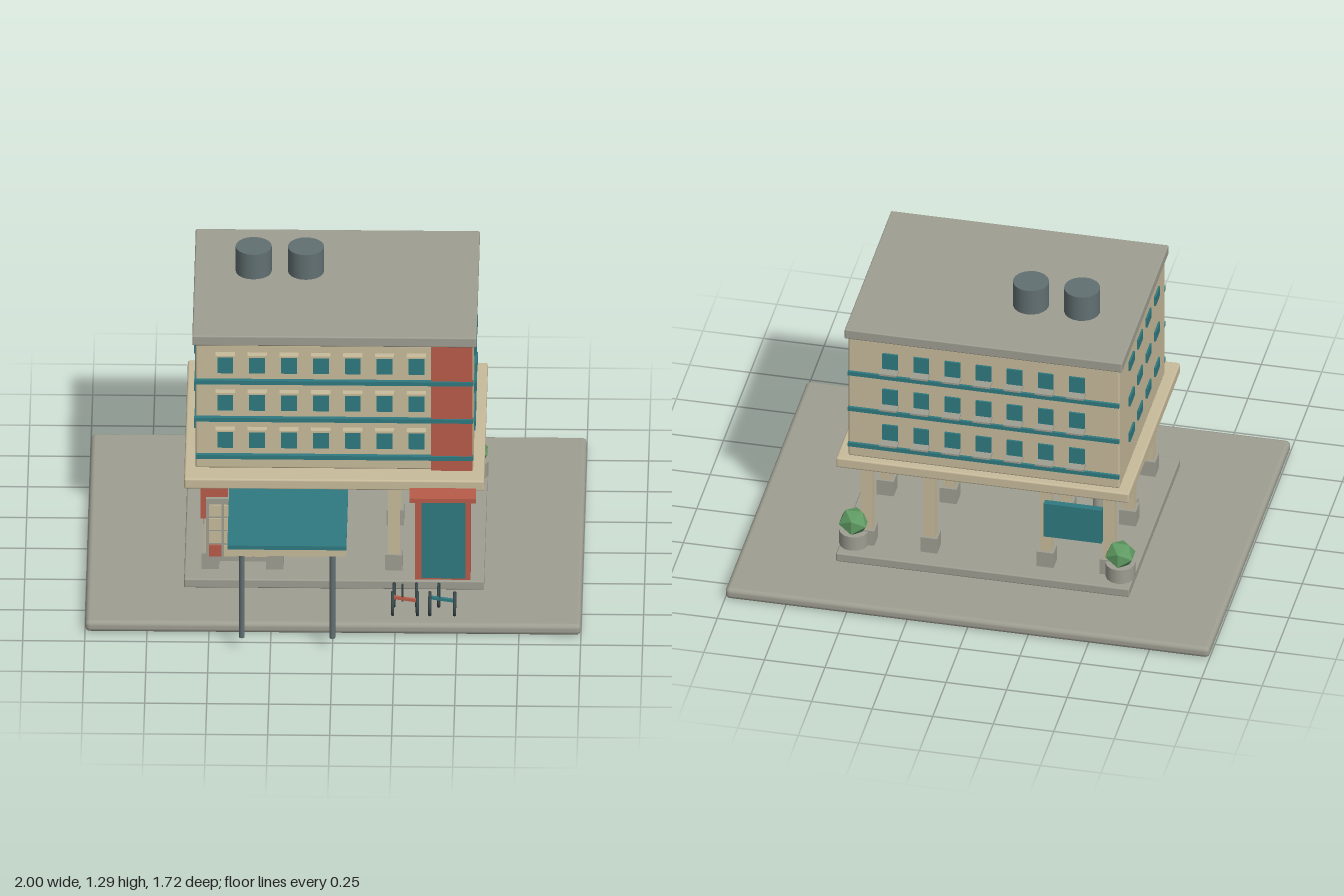
import * as THREE from 'three';
import { RoundedBoxGeometry } from 'three/addons/geometries/RoundedBoxGeometry.js';

const paint = (name, color) => {
  const m = new THREE.MeshStandardMaterial({ color });
  m.name = name;
  return m;
};

export function createModel() {
  const model = new THREE.Group();
  model.name = 'apartmentBlock';
  const wall = paint('cream wall', 0xc8bb9b);
  const concrete = paint('grey concrete', 0x9f9e92);
  const teal = paint('teal', 0x2f7a80);
  const red = paint('brick red', 0xb85c4a);
  const slate = paint('slate metal', 0x627072);
  const dark = paint('dark metal', 0x3a4a4c);
  const green = paint('leaf green', 0x5f9a62);

  const add = (name, geometry, material, x = 0, y = 0, z = 0, parent = model) => {
    const mesh = new THREE.Mesh(geometry, material);
    mesh.name = name;
    mesh.position.set(x, y, z);
    parent.add(mesh);
    return mesh;
  };
  // Box given by its extents on each axis
  const box = (name, mat, x0, x1, y0, y1, z0, z1, round = 0) => {
    const s = [x1 - x0, y1 - y0, z1 - z0];
    const g = round ? new RoundedBoxGeometry(...s, 2, round) : new THREE.BoxGeometry(...s);
    return add(name, g, mat, (x0 + x1) / 2, (y0 + y1) / 2, (z0 + z1) / 2);
  };
  const cylinder = (name, mat, r, x, y0, y1, z, sides = 16) =>
    add(name, new THREE.CylinderGeometry(r, r, y1 - y0, sides), mat, x, (y0 + y1) / 2, z);

  // Ground, plinth and raised slab
  box('ground', concrete, -1, 1, 0, 0.05, -0.86, 0.68, 0.02);
  box('plinth', concrete, -0.605, 0.605, 0.05, 0.09, -0.57, 0.397, 0.006);
  box('raisedSlab', wall, -0.605, 0.605, 0.508, 0.555, -0.57, 0.397, 0.008);

  // Columns with footings
  for (const x of [-0.5, -0.24, 0.24, 0.5]) {
    for (const z of [-0.45, -0.087, 0.277]) {
      box('column', wall, x - 0.024, x + 0.024, 0.15, 0.51, z - 0.024, z + 0.024);
      box('columnFooting', concrete, x - 0.035, x + 0.035, 0.09, 0.16, z - 0.035, z + 0.035);
    }
  }

  // Main block, stair panel and roof
  box('mainBlock', wall, -0.56, 0.56, 0.555, 1.13, -0.542, 0.306, 0.008);
  box('stairPanel', red, 0.39, 0.557, 0.557, 1.135, 0.3, 0.317);
  box('roof', concrete, -0.573, 0.573, 1.13, 1.175, -0.555, 0.32, 0.006);
  for (const x of [-0.334, -0.123]) cylinder('waterTank', slate, 0.073, x, 1.17, 1.289, -0.217, 20);

  // Windows, hoods, sills and floor bands
  [0.694, 0.867, 1.04].forEach((y) => {
    for (let i = 0; i < 7; i++) {
      const xf = -0.44 + i * 0.1285;
      box('frontWindow', teal, xf - 0.032, xf + 0.032, y - 0.04, y + 0.04, 0.305, 0.314);
      box('windowHood', wall, xf - 0.039, xf + 0.039, y + 0.046, y + 0.054, 0.3, 0.337);
      const xb = -0.385 + i * 0.1285;
      box('backWindow', teal, xb - 0.032, xb + 0.032, y - 0.036, y + 0.036, -0.55, -0.541);
      box('windowSill', concrete, xb - 0.036, xb + 0.036, y - 0.044, y - 0.036, -0.59, -0.54);
    }
    for (const s of [-1, 1]) {
      for (let i = 0; i < 4; i++) {
        const z = 0.146 - i * 0.159;
        add('sideWindow', new THREE.BoxGeometry(0.009, 0.044, 0.082), teal, s * 0.563, y, z);
      }
    }
    const b = y - 0.078;
    box('frontBand', teal, -0.56, 0.56, b - 0.009, b + 0.009, 0.3, 0.324);
    box('backBand', teal, -0.56, 0.56, b - 0.009, b + 0.009, -0.553, -0.54);
  });

  // Entrance kiosk with door and cap
  box('kioskBody', red, 0.326, 0.55, 0.09, 0.508, 0.315, 0.385);
  box('kioskDoor', teal, 0.352, 0.529, 0.1, 0.455, 0.384, 0.391);
  box('kioskCap', red, 0.305, 0.573, 0.503, 0.522, 0.35, 0.485);

  // Front canopy
  box('canopyRoof', teal, -0.423, 0.057, 0.494, 0.512, 0.385, 0.86);
  box('canopyLip', wall, -0.423, 0.057, 0.464, 0.5, 0.846, 0.859);
  for (const x of [-0.365, 0]) cylinder('canopyPost', slate, 0.012, x, 0.06, 0.496, 0.81, 10);

  // Locker board with a grid of doors, two of them red
  box('lockerBoard', concrete, -0.518, -0.258, 0.14, 0.428, 0.318, 0.336);
  for (let row = 0; row < 4; row++) {
    for (let col = 0; col < 4; col++) {
      const x = -0.48 + col * 0.0615, y = 0.19 + row * 0.062;
      const accent = (row === 0 && col === 0) || (row === 3 && col === 3);
      box('lockerDoor', accent ? red : wall, x - 0.026, x + 0.026, y - 0.026, y + 0.026, 0.335, 0.341);
    }
  }
  box('redSign', red, -0.54, -0.43, 0.325, 0.495, 0.301, 0.313);

  // Rear board
  box('rearBoard', teal, -0.48, -0.24, 0.257, 0.417, -0.512, -0.484);

  // Planters with shrubs at the rear corners
  for (const s of [-1, 1]) {
    cylinder('planter', concrete, 0.06, s * 0.55, 0.09, 0.155, -0.48, 14);
    const leaf = new THREE.IcosahedronGeometry(0.065, 0).toNonIndexed();
    const shrub = add('shrub', leaf, green, s * 0.55, 0.195, -0.48);
    shrub.scale.y = 0.9;
  }

  // Table and stools under the slab
  box('tableTop', concrete, -0.41, -0.31, 0.217, 0.23, -0.062, 0.036);
  cylinder('tablePedestal', concrete, 0.022, -0.36, 0.09, 0.22, -0.035, 12);
  for (const x of [-0.49, -0.225]) cylinder('stool', concrete, 0.032, x, 0.09, 0.155, -0.015, 14);

  // Bicycle wheels, frames, posts and rack hoops
  const ring = new THREE.TorusGeometry(0.045, 0.007, 6, 20);
  const wheel = (name, x, z) => { add(name, ring, dark, x, 0.12, z).rotation.y = Math.PI / 2; };
  [[0.24, red], [0.39, teal]].forEach(([x, mat]) => {
    wheel('bicycleWheel', x, 0.633);
    wheel('bicycleWheel', x + 0.1, 0.633);
    const bar = box('bicycleFrame', mat, x, x + 0.1, 0.136, 0.148, 0.627, 0.639);
    bar.rotation.z = -0.15;
    cylinder('bicyclePost', dark, 0.004, x + 0.04, 0.13, 0.21, 0.633, 6);
  });
  for (const x of [0.245, 0.335, 0.425]) wheel('rackHoop', x, 0.563);

  return model;
}
